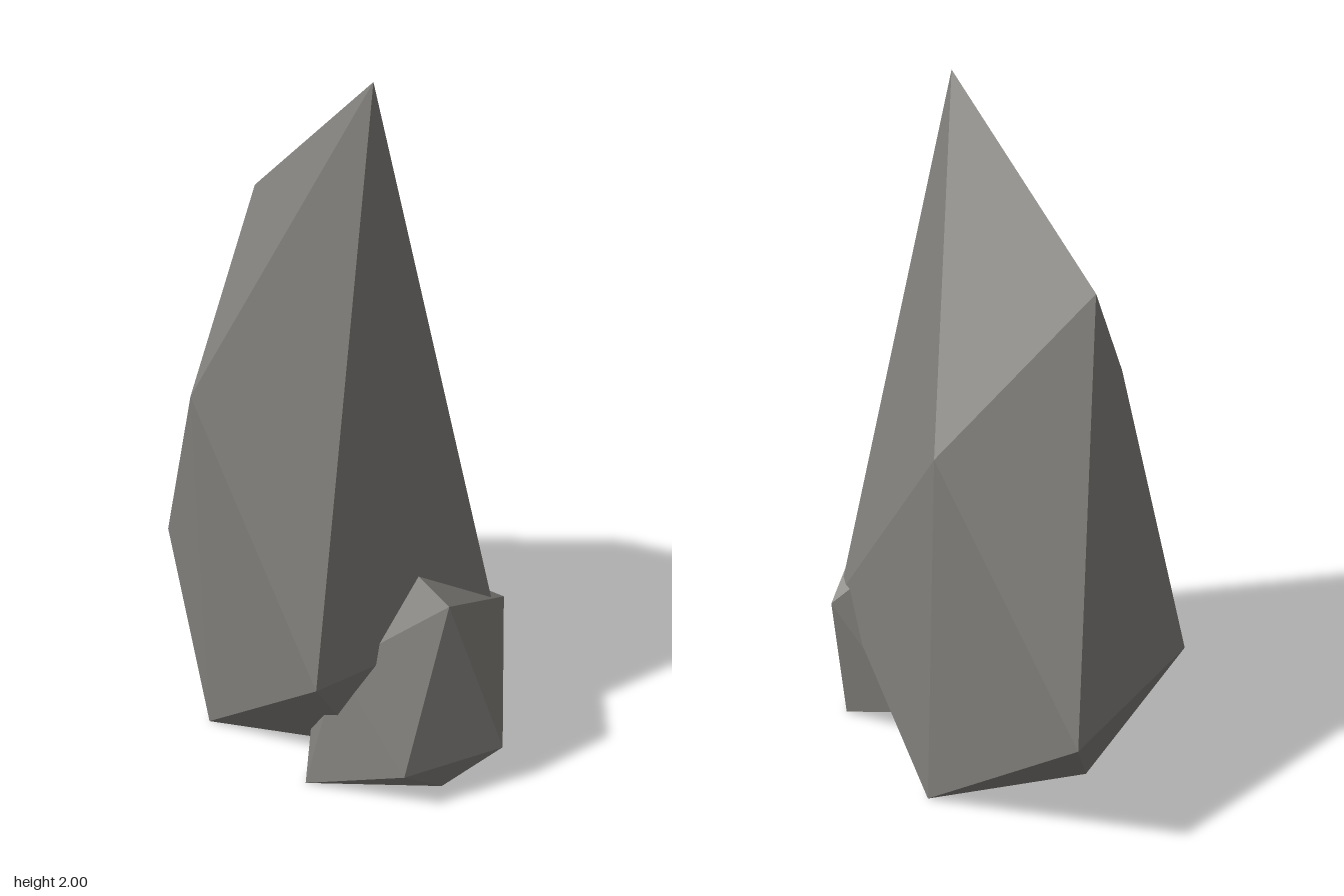
import * as THREE from 'three';
import { ConvexGeometry } from 'three/addons/geometries/ConvexGeometry.js';

export function createModel() {
  const group = new THREE.Group();
  const stone = new THREE.MeshStandardMaterial({ color: 0x807e7a });
  stone.name = 'grey stone';
  stone.flatShading = true;

  // A faceted rock is the convex hull of its corner points
  const addRock = (name, corners) => {
    const points = corners.map((c) => new THREE.Vector3(...c));
    const rock = new THREE.Mesh(new ConvexGeometry(points), stone);
    rock.name = name;
    group.add(rock);
  };

  addRock('tallRock', [
    // foot
    [-0.32, 0, 0.29], [0.14, 0, 0.25], [0.14, 0, -0.315], [-0.3, 0, -0.14],
    // widest ring
    [-0.56, 0.42, -0.04], [0.09, 0.42, 0.53], [0.47, 0.42, 0.07], [-0.31, 0.42, -0.53],
    // shoulders and tip
    [-0.325, 1.12, 0.29], [0.11, 1.12, -0.27], [-0.28, 1.55, -0.12], [0.135, 2, 0.195],
  ]);

  addRock('smallRock', [
    // foot
    [0.03, 0, 0.45], [0.4, 0, 0.35], [0.46, 0, 0.03],
    // widest ring
    [0.555, 0.135, 0.29], [0.325, 0.135, 0.485], [0.24, 0.115, -0.08], [-0.02, 0.12, 0.21],
    // shoulders and blunt top
    [0.48, 0.43, 0], [0.1, 0.38, 0.37], [0.2, 0.635, 0.16], [0.402, 0.645, 0.358],
  ]);

  return group;
}
